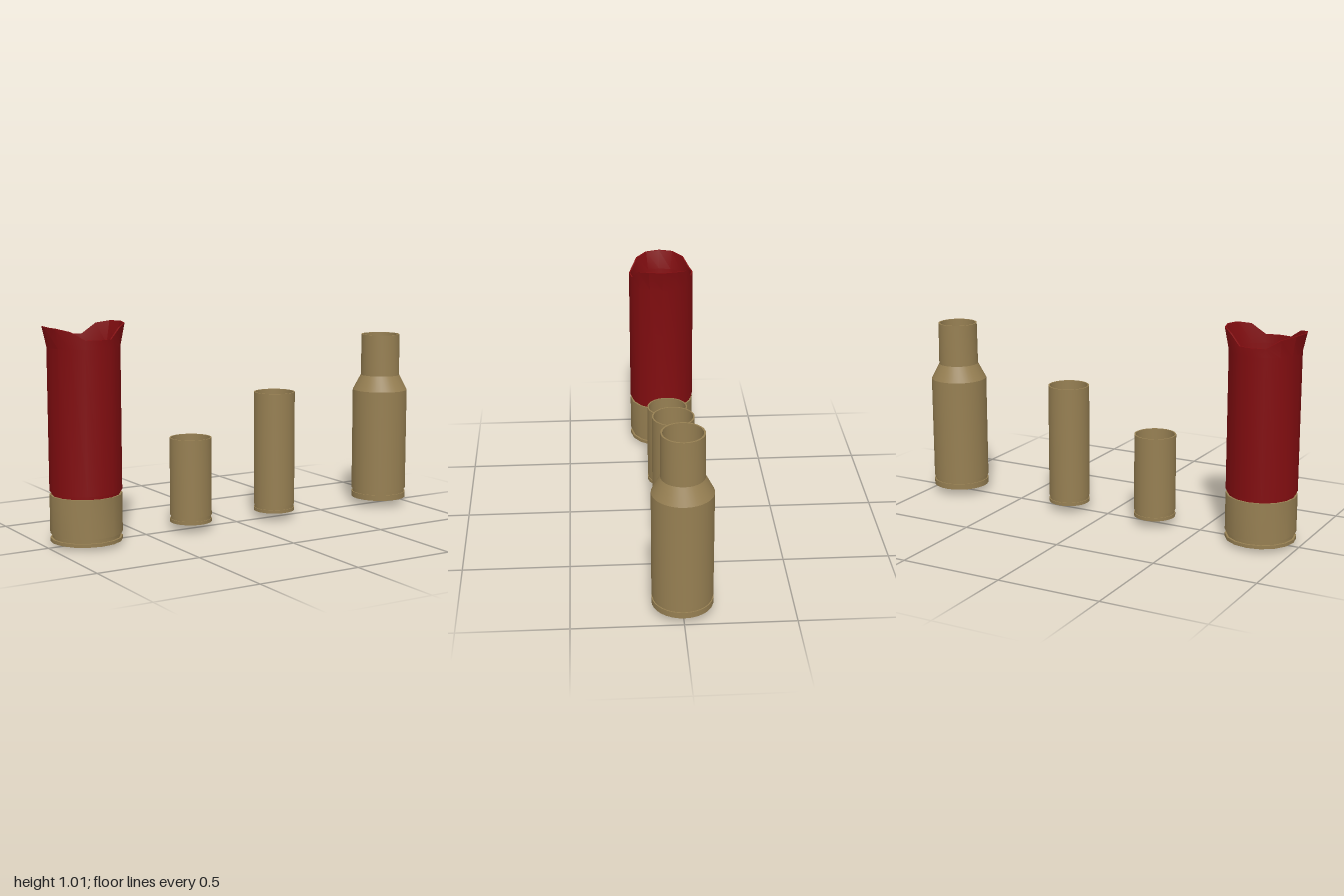
import * as THREE from 'three';
import { toCreasedNormals } from 'three/addons/utils/BufferGeometryUtils.js';

const brass = new THREE.MeshStandardMaterial({ color: 0x967f52 });
brass.name = 'brass';
const red = new THREE.MeshStandardMaterial({ color: 0x820d10 });
red.name = 'red plastic';
const copper = new THREE.MeshStandardMaterial({ color: 0x7a4a38 });
copper.name = 'copper';

// Revolved solid from [radius, height] pairs
const lathe = (profile, sides) =>
  new THREE.LatheGeometry(profile.map(([r, y]) => new THREE.Vector2(r, y)), sides);

function part(name, geometry, material) {
  const mesh = new THREE.Mesh(toCreasedNormals(geometry, 0.45), material);
  mesh.name = name;
  return mesh;
}

// Tapered primer cap under the base
const primer = (base, depth, r, sides) =>
  part('primer', lathe([[0, base - depth], [r * 0.75, base - depth], [r, base], [0, base]], sides), copper);

// Hollow metal case: rim, extractor groove, then outer wall points [radius, height]
function metalCase(name, x, base, rim, groove, r, upperWall, wall, primerSize) {
  const outer = [[r, groove], ...upperWall];
  const inner = outer.map(([pr, y]) => [pr - wall, y]).reverse();
  const grooveR = r * 0.96;
  const profile = [
    [0, base], [r, base], [r, rim], [grooveR, rim], [grooveR, groove],
    ...outer, ...inner, [0, groove]
  ];
  const group = new THREE.Group();
  group.name = name;
  group.add(part('case', lathe(profile, 32), brass), primer(base, ...primerSize, 16));
  group.position.x = x;
  return group;
}

// Shell with a metal head and a plastic tube whose mouth has burst open
function shotShell() {
  const group = new THREE.Group();
  group.name = 'shotShell';
  const r = 0.166, sides = 16;
  const head = lathe([
    [0, 0.018], [r, 0.018], [r, 0.034], [0.156, 0.034], [0.156, 0.054],
    [r, 0.054], [r, 0.235], [0.154, 0.235], [0.154, 0.06], [0, 0.06]
  ], sides);

  const mouth = 0.95;
  const tube = lathe([
    [0.157, 0.225], [0.157, 0.25], [r, 0.25], [r, 0.91], [r, mouth],
    [r - 0.007, mouth], [r - 0.009, 0.91], [0.152, 0.06]
  ], sides);
  // Flare and raise the mouth toward both sides
  const flare = [0.024, 0.02, 0.008, 0, 0];
  const lift = [0.065, 0.063, 0.05, 0, 0];
  const p = tube.attributes.position;
  for (let i = 0; i < p.count; i++) {
    if (Math.abs(p.getY(i) - mouth) > 0.001) continue;
    const x = p.getX(i), z = p.getZ(i), radius = Math.hypot(x, z);
    const k = Math.round(Math.atan2(Math.abs(z), Math.abs(x)) / (Math.PI / 8));
    const s = (radius + flare[k]) / radius;
    const drop = x < 0 && k < 3 ? 0.011 : 0;
    p.setXYZ(i, x * s, mouth + lift[k] - drop, z * s);
  }
  group.add(part('head', head, brass), part('tube', tube, red), primer(0.018, 0.018, 0.058, 10));
  group.position.x = -0.808;
  return group;
}

export function createModel() {
  const model = new THREE.Group();
  model.name = 'spentCasings';
  model.add(
    shotShell(),
    metalCase('shortCase', -0.257, 0.037, 0.053, 0.07, 0.1, [[0.1, 0.443]], 0.007, [0.008, 0.038]),
    metalCase('mediumCase', 0.217, 0.037, 0.053, 0.07, 0.1, [[0.1, 0.627]], 0.007, [0.008, 0.038]),
    metalCase('bottleneckCase', 0.862, 0.034, 0.062, 0.08, 0.138,
      [[0.138, 0.592], [0.098, 0.668], [0.096, 0.876]], 0.008, [0.012, 0.044])
  );
  return model;
}
